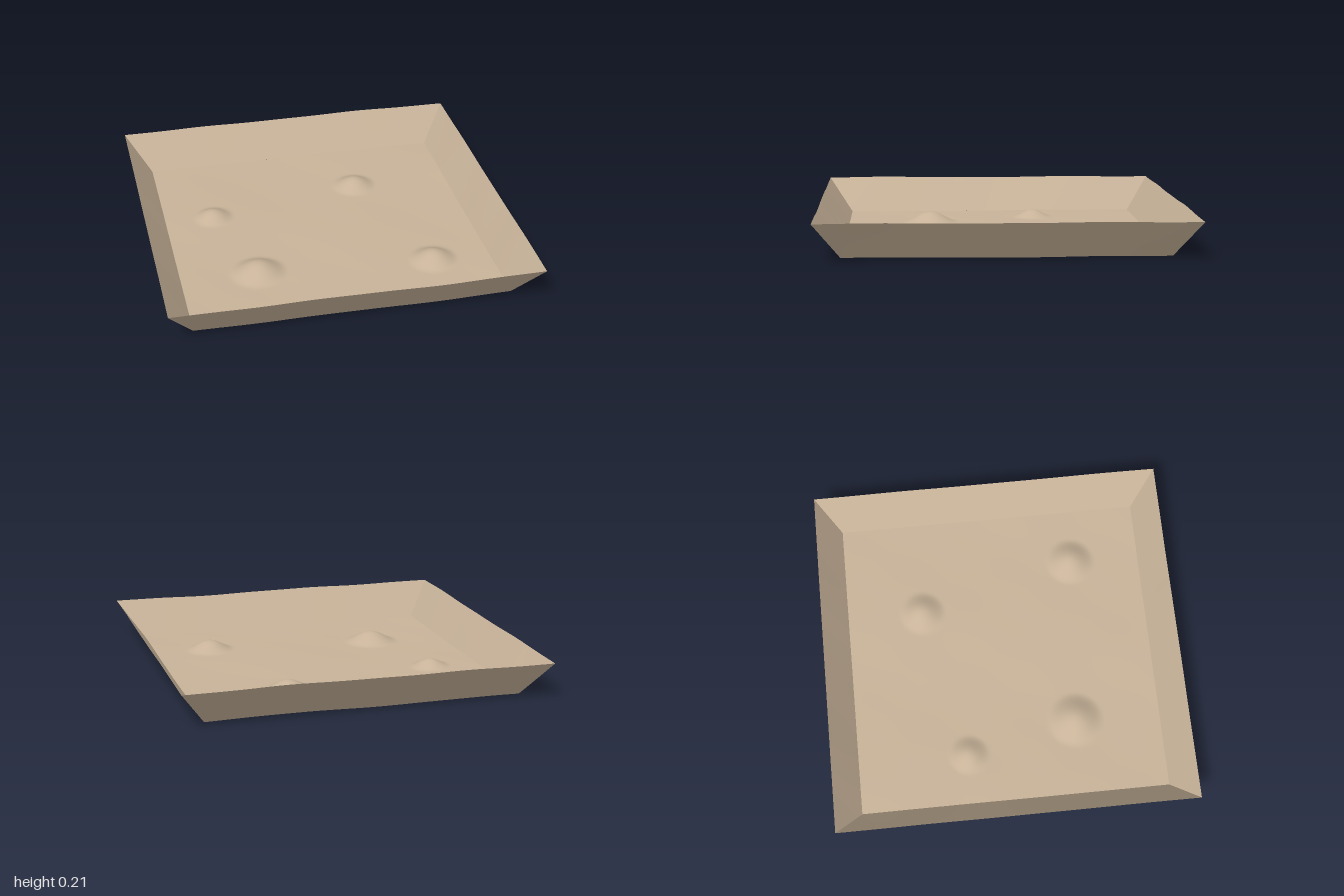
import * as THREE from 'three';

const FLOOR = 0.86, RIM = 1, RIM_Y = 0.2;
// Raised mounds: x, z, radius, height
const MOUNDS = [
  [-0.43, 0.38, 0.165, 0.063],
  [0.54, 0.46, 0.145, 0.055],
  [0.3, -0.43, 0.135, 0.05],
  [-0.58, -0.24, 0.12, 0.043],
];

// Gentle unevenness of the whole sheet
function ripple(x, z) {
  return 0.0025 * Math.sin(6.3 * x + 1.7 * z + 0.4)
    + 0.002 * Math.sin(5.1 * z - 3.2 * x + 1.1)
    + 0.001 * Math.sin(13 * x + 2) * Math.sin(11 * z + 0.5);
}

function floorHeight(x, z) {
  let y = 0.006 + ripple(x, z);
  for (const [cx, cz, r, h] of MOUNDS) {
    const d2 = ((x - cx) ** 2 + (z - cz) ** 2) / (r * r);
    if (d2 < 1) y += h * (1 - d2) ** 2;
  }
  return y;
}

// Plane grid whose vertices are moved by a rule of u, v in -1..1
function sheet(name, material, nu, nv, place) {
  const geometry = new THREE.PlaneGeometry(2, 2, nu, nv).rotateX(-Math.PI / 2);
  const p = geometry.attributes.position;
  for (let i = 0; i < p.count; i++) p.setXYZ(i, ...place(p.getX(i), p.getZ(i)));
  geometry.computeVertexNormals();
  const mesh = new THREE.Mesh(geometry, material);
  mesh.name = name;
  return mesh;
}

export function createModel() {
  const group = new THREE.Group();
  group.name = 'shallowTray';
  const sand = new THREE.MeshStandardMaterial({ color: 0xc8b399, side: THREE.DoubleSide });
  sand.name = 'sand';

  // Uneven floor with the mounds
  group.add(sheet('floor', sand, 128, 128, (u, v) => {
    const x = u * FLOOR, z = v * FLOOR;
    return [x, floorHeight(x, z), z];
  }));

  // Four flared walls, each turned a quarter from the last
  ['frontWall', 'leftWall', 'backWall', 'rightWall'].forEach((name, i) => {
    const c = Math.round(Math.cos(i * Math.PI / 2)), s = Math.round(Math.sin(i * Math.PI / 2));
    group.add(sheet(name, sand, 64, 6, (u, v) => {
      const t = (v + 1) / 2;
      const out = FLOOR + (RIM - FLOOR) * t, along = u * out;
      const x = c * along + s * out, z = c * out - s * along;
      return [x, 0.006 + (RIM_Y - 0.003) * t + ripple(x, z), z];
    }));
  });
  return group;
}
